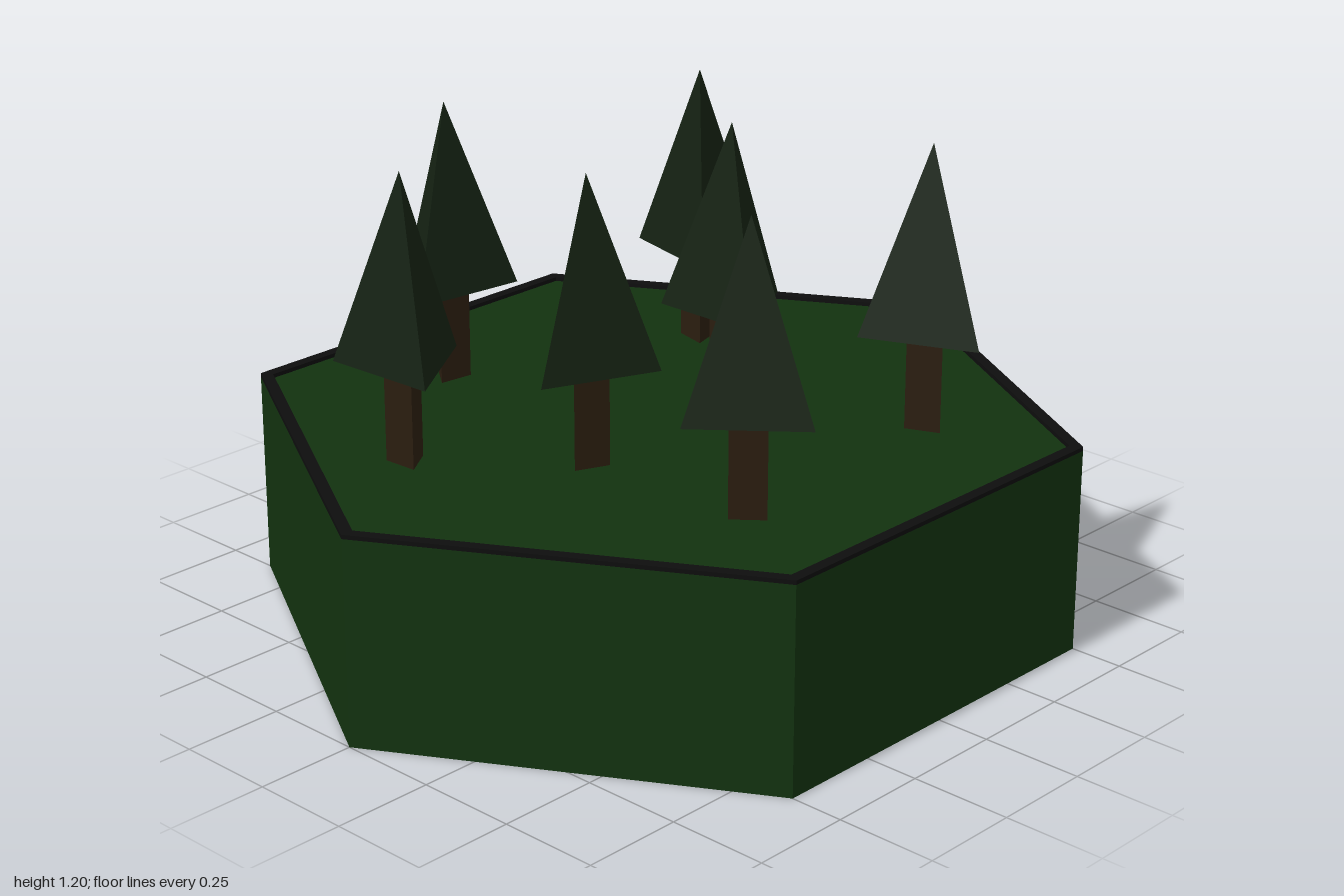
import * as THREE from 'three';

const mat = (color) => new THREE.MeshStandardMaterial({ color, flatShading: true, side: THREE.DoubleSide });

const GROUND = 0.505; // height of the grass
const RIM = 0.968;    // inner radius of the rim

// [x, z, rotation in degrees] of each tree
const TREES = [
  [0.07, -0.167, 60],
  [-0.284, -0.44, 46],
  [0.51, -0.363, 83],
  [-0.536, 0.178, 23],
  [0.095, 0.338, 7],
  [0.552, 0.302, 100],
  [-0.213, 0.612, 63],
];

export function createModel() {
  const model = new THREE.Group();
  model.name = 'forestTile';
  const green = mat(0x12320f), black = mat(0x0d0d0d);
  const leaf = mat(0x142112), bark = mat(0x2a1d0f);

  const add = (parent, name, geometry, material, y) => {
    const mesh = new THREE.Mesh(geometry, material);
    mesh.name = name;
    mesh.position.y = y;
    parent.add(mesh);
    return mesh;
  };

  // Hexagonal side walls, open underneath
  add(model, 'walls', new THREE.CylinderGeometry(1, 1, GROUND, 6, 1, true), green, GROUND / 2);

  // Grass sheet inside the rim
  const grass = new THREE.CircleGeometry(RIM, 6, Math.PI / 2).rotateX(-Math.PI / 2);
  add(model, 'grass', grass, green, GROUND);

  // Thin dark rim around the top
  const profile = [[1, 0], [1, 0.01], [RIM, 0.01], [RIM, 0], [1, 0]].map(([x, y]) => new THREE.Vector2(x, y));
  add(model, 'rim', new THREE.LatheGeometry(profile, 6), black, GROUND);

  // Three-sided trees
  const trunk = new THREE.CylinderGeometry(0.05, 0.05, 0.24, 3);
  const crown = new THREE.ConeGeometry(0.168, 0.46, 3);
  TREES.forEach(([x, z, angle], i) => {
    const tree = new THREE.Group();
    tree.name = `tree${i + 1}`;
    tree.position.set(x, 0, z);
    tree.rotation.y = THREE.MathUtils.degToRad(angle);
    add(tree, 'trunk', trunk, bark, 0.62);
    add(tree, 'crown', crown, leaf, 0.97);
    model.add(tree);
  });

  return model;
}
